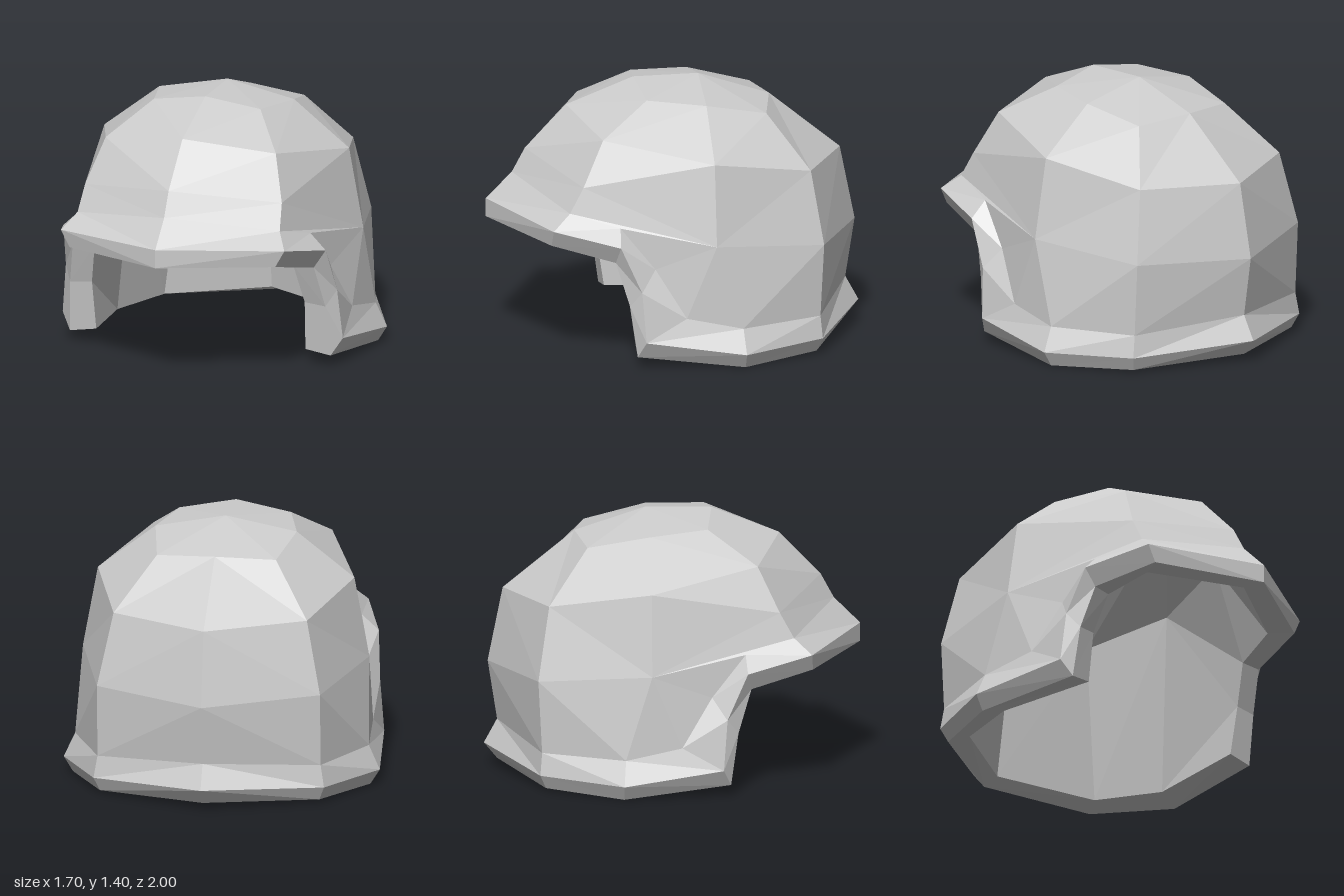
import * as THREE from 'three';

// Cross-section rings of the left half, running front centre -> side -> back centre.
// Crown rings have five points: front, front corner, side, back corner, back.
const crownTop = [0, 1.405, -0.14];
const ring1 = [[0, 1.4, 0.21], [0.3, 1.35, 0.18], [0.38, 1.33, -0.13], [0.32, 1.26, -0.46], [0, 1.28, -0.52]];
const ring2 = [[0, 1.26, 0.57], [0.48, 1.19, 0.44], [0.69, 1.09, -0.13], [0.52, 0.99, -0.67], [0, 0.97, -0.9]];
const ring3 = [[0, 1.03, 0.79], [0.555, 0.955, 0.555], [0.77, 0.66, -0.13], [0.6, 0.6, -0.73], [0, 0.57, -0.98]];

// Rim rings have eight points: the side is split to follow the ear guard.
const flare = [[0, 0.9, 0.86], [0.57, 0.82, 0.63], [0.65, 0.75, 0.37], [0.7, 0.53, 0.19],
  [0.765, 0.27, 0.03], [0.79, 0.21, -0.27], [0.6, 0.21, -0.71], [0, 0.25, -0.93]];
const lipOuter = [[0, 0.76, 1], [0.63, 0.74, 0.725], [0.74, 0.665, 0.38], [0.765, 0.42, 0.27],
  [0.79, 0.15, 0.25], [0.85, 0.08, -0.28], [0.62, 0.09, -0.72], [0, 0.12, -1]];
const lipLower = [[0, 0.66, 1], [0.58, 0.65, 0.73], [0.68, 0.57, 0.4], [0.72, 0.34, 0.33],
  [0.735, 0.06, 0.29], [0.8, 0, -0.28], [0.59, 0.015, -0.69], [0, 0.035, -0.93]];
const lipInner = [[0, 0.67, 0.86], [0.5, 0.655, 0.61], [0.56, 0.57, 0.39], [0.6, 0.35, 0.32],
  [0.59, 0.08, 0.28], [0.66, 0.04, -0.25], [0.52, 0.045, -0.6], [0, 0.07, -0.84]];

// Inside of the ear guard: fold from its front edge to the side of the rim.
const earFold = lipInner.map((p, i) => (i === 4 ? lipInner[5] : p));

// Repeat the side point so a five-point ring joins an eight-point ring as a fan.
const spread = (r) => [r[0], r[1], r[2], r[2], r[2], r[2], r[3], r[4]];
// Move a ring inwards for the lining.
const inset = (r) => r.map(([x, y, z]) => [x * 0.76, y - 0.12, z * 0.82]);

// Skin consecutive rings, mirror the faces to the other side, drop collapsed triangles.
function skin(name, rings, material) {
  const pos = [];
  const same = (p, q) => p.every((v, i) => Math.abs(v - q[i]) < 1e-6);
  const tri = (a, b, c) => {
    if (same(a, b) || same(b, c) || same(a, c)) return;
    pos.push(...a, ...b, ...c);
    for (const [x, y, z] of [a, c, b]) pos.push(-x, y, z);
  };
  for (let r = 0; r < rings.length - 1; r++) {
    for (let i = 0; i < rings[r].length - 1; i++) {
      const a = rings[r][i], b = rings[r][i + 1];
      const d = rings[r + 1][i], c = rings[r + 1][i + 1];
      tri(a, d, b);
      tri(b, d, c);
    }
  }
  const geometry = new THREE.BufferGeometry();
  geometry.setAttribute('position', new THREE.Float32BufferAttribute(pos, 3));
  geometry.computeVertexNormals();
  const mesh = new THREE.Mesh(geometry, material);
  mesh.name = name;
  return mesh;
}

export function createModel() {
  const group = new THREE.Group();
  group.name = 'helmet';
  const material = new THREE.MeshStandardMaterial({ color: 0xcccccc, flatShading: true });

  const top = Array(5).fill(crownTop);
  const lining = [ring2, ring1, top].map(inset).map(spread);

  group.add(
    // Outer dome and ear guards down to the flare
    skin('outerShell', [...[top, ring1, ring2, ring3].map(spread), flare], material),
    // Brim and neck flare with its thick edge
    skin('rim', [flare, lipOuter, lipLower, lipInner], material),
    // Inside surface from the rim straight up to the crown
    skin('innerLining', [lipInner, earFold, ...lining], material),
  );
  return group;
}
